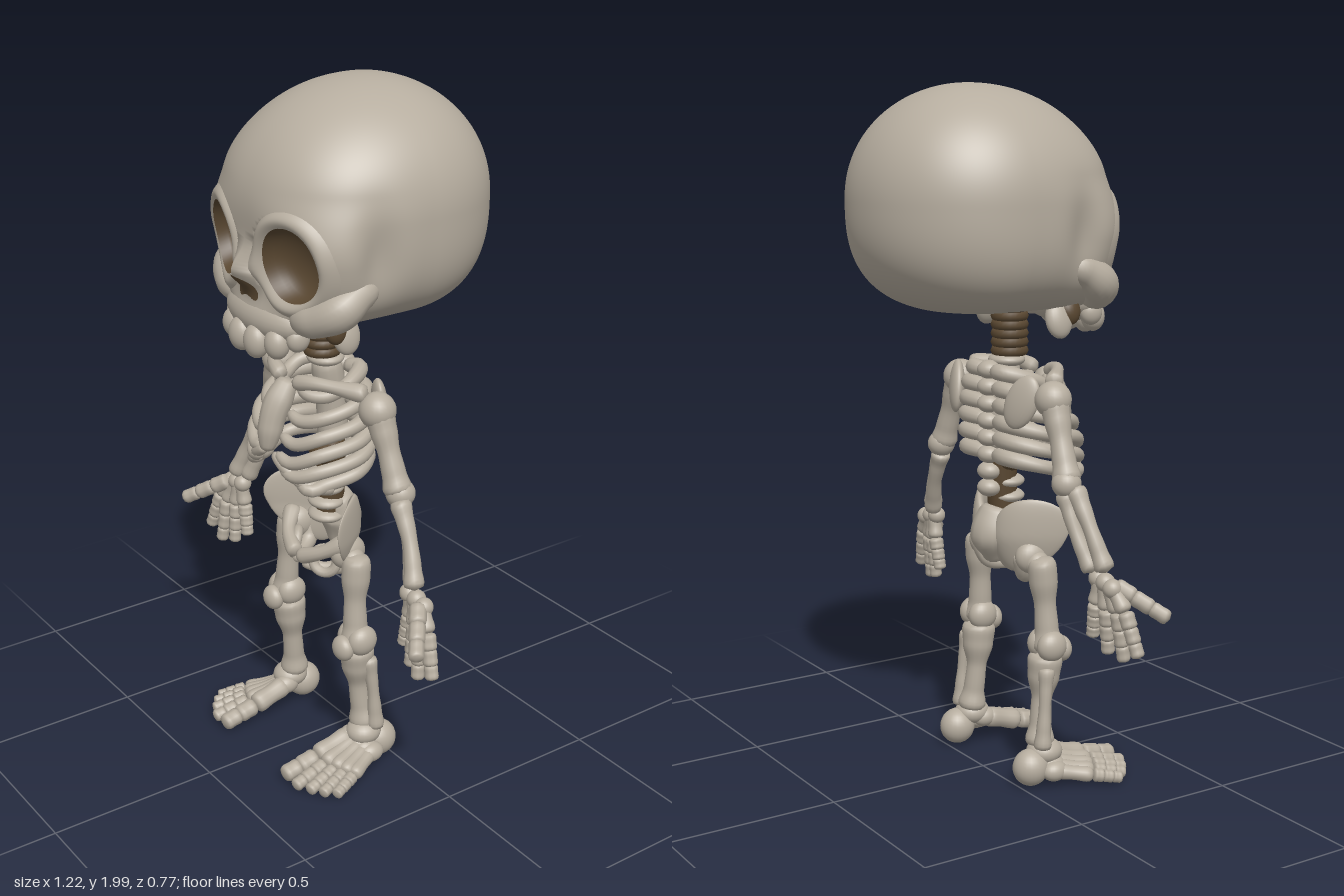
import * as THREE from 'three';
import { mergeVertices } from 'three/addons/utils/BufferGeometryUtils.js';

const boneMat = new THREE.MeshStandardMaterial({ color: 0xb6ad9f });
boneMat.name = 'bone';
const darkMat = new THREE.MeshStandardMaterial({ color: 0x584630, side: THREE.DoubleSide });
darkMat.name = 'dark hollow';

const { lerp, smoothstep } = THREE.MathUtils;

function add(parent, name, geo, mat = boneMat) {
  const mesh = new THREE.Mesh(geo, mat);
  mesh.name = name;
  parent.add(mesh);
  return mesh;
}

function smooth(geo) {
  geo.deleteAttribute('uv');
  geo.deleteAttribute('normal');
  const g = mergeVertices(geo, 1e-5);
  g.computeVertexNormals();
  return g;
}

// Surface from a rule f(u, v) -> [x, y, z], closed around v
function grid(f, nu, nv) {
  const pos = [], idx = [];
  for (let i = 0; i <= nu; i++) for (let j = 0; j <= nv; j++) pos.push(...f(i / nu, j === nv ? 0 : j / nv));
  for (let i = 0; i < nu; i++) for (let j = 0; j < nv; j++) {
    const a = i * (nv + 1) + j, c = a + nv + 1;
    idx.push(a, a + 1, c, a + 1, c + 1, c);
  }
  const g = new THREE.BufferGeometry();
  g.setAttribute('position', new THREE.Float32BufferAttribute(pos, 3));
  g.setIndex(idx);
  return smooth(g);
}

// Round-ended tube whose radius follows a list
function rod(parent, name, pts, radii, { mat = boneMat, seg = 24, sides = 12, cap = 12 } = {}) {
  const curve = new THREE.CatmullRomCurve3(pts.map(p => new THREE.Vector3(...p)));
  const geo = new THREE.TubeGeometry(curve, seg, 1, sides);
  const pos = geo.attributes.position, v = new THREE.Vector3();
  for (let i = 0; i < pos.count; i++) {
    const t = Math.floor(i / (sides + 1)) / seg, k = t * (radii.length - 1);
    const a = Math.min(Math.floor(k), radii.length - 2);
    const r = lerp(radii[a], radii[a + 1], smoothstep(k - a, 0, 1)) * Math.sqrt(Math.max(0, 1 - Math.abs(2 * t - 1) ** cap));
    const c = curve.getPointAt(t);
    v.fromBufferAttribute(pos, i).sub(c).multiplyScalar(r).add(c);
    pos.setXYZ(i, v.x, v.y, v.z);
  }
  return add(parent, name, smooth(geo), mat);
}

function blob(parent, name, p, r, rot = [0, 0, 0], mat = boneMat) {
  const m = add(parent, name, new THREE.SphereGeometry(1, 24, 16), mat);
  m.position.set(...p);
  m.scale.set(...(Array.isArray(r) ? r : [r, r, r]));
  m.rotation.set(...rot);
  return m;
}

// Row of small rounded bones between two points
function digit(parent, name, a, b, n, r) {
  for (let i = 0; i < n; i++) {
    const at = t => a.map((q, k) => lerp(q, b[k], t));
    const s = r * (1 - 0.07 * i);
    rod(parent, name, [at((i - 0.12) / n), at(i === n - 1 ? 1 : (i + 1.12) / n)], [s, s * 0.88, s], { seg: 12, sides: 9, cap: 4 });
  }
}

// Skull cross-section at height y
function section(y) {
  const n = lerp(lerp(3.3, 2.35, smoothstep(y, 1.58, 1.76)), 2.1, smoothstep(y, 1.76, 1.95));
  if (y >= 1.68) {
    const f = Math.sqrt(Math.max(0, 1 - ((y - 1.68) / 0.32) ** 2.1));
    return { w: 0.34 * f, f: 0.385 * f, b: 0.335 * f, n };
  }
  const u = (1.68 - y) / 0.31;
  return { w: 0.34 * (1 - u ** 3) ** 0.32, f: 0.385 - 0.035 * smoothstep(u, 0, 1), b: 0.335 * (1 - u ** 2.6) ** 0.4, n };
}
const bell = (x, y, cy, sx, sy) => Math.exp(-((x / sx) ** 2) - ((y - cy) / sy) ** 2);
const relief = (x, y) => 0.06 * bell(x, y, 1.53, 0.04, 0.05) + 0.035 * bell(x, y, 1.39, 0.13, 0.07);
function faceZ(x, y) {
  const s = section(y);
  return -0.05 + s.f * Math.max(0, 1 - Math.min(1, Math.abs(x / s.w)) ** s.n) ** (1 / s.n) + relief(x, y);
}
const EYE = { x: 0.16, y: 1.572, rx: 0.095, ry: 0.108 };

// Patch that follows the face, from an outline and a height rule
function facePatch(outline, d0, d1, height, rows) {
  return grid((u, v) => {
    const d = lerp(d0, d1, u), [x, y] = outline(-v * Math.PI * 2, d);
    return [x, y, faceZ(x, y) + height(d)];
  }, rows, 56);
}

function buildSkull() {
  const g = new THREE.Group();
  g.name = 'skull';
  const pow = (c, n) => Math.sign(c) * Math.abs(c) ** (2 / n);
  const shell = (u, v) => {
    const y = 1.69 + 0.31 * Math.cos(u * Math.PI * 0.945), s = section(y), a = v * Math.PI * 2;
    const front = Math.sin(a) > 0, n = front ? s.n : 2.1;
    let x = s.w * pow(Math.cos(a), n), z = -0.05 + (front ? s.f : s.b) * pow(Math.sin(a), n);
    if (front) {
      z += relief(x, y);
      const d = Math.hypot((Math.abs(x) - EYE.x) / EYE.rx, (y - EYE.y) / EYE.ry);
      z -= 0.2 * (1 - smoothstep(d, 0.98, 1.13));
      // hollow temples
      x *= 1 - 0.09 * Math.exp(-(((z - 0.125) / 0.055) ** 2) - ((y - 1.59) / 0.11) ** 2) * smoothstep(Math.abs(x), 0.2, 0.28);
    }
    return [x, y, z];
  };
  add(g, 'cranium', grid(shell, 90, 180));
  // hollow underside
  add(g, 'skullHollow', grid((u, v) => {
    const [x, y, z] = shell(1, v), k = 1 - u;
    return [x * k, y + 0.08 * Math.sqrt(1 - k * k), lerp(0.06, z, k)];
  }, 8, 90), darkMat);

  for (const s of [1, -1]) {
    const oval = (a, d) => [s * EYE.x + EYE.rx * d * Math.cos(a), EYE.y + EYE.ry * d * Math.sin(a)];
    add(g, 'eyeSocket', facePatch(oval, 0, 1, d => -0.09 * Math.sqrt(1 - d * d), 12), darkMat);
    add(g, 'eyeRim', facePatch(oval, 0.95, 1.36, d => 0.012 * Math.sin(Math.PI * (d - 0.95) / 0.41) - 0.002, 10));
    rod(g, 'cheekbone', [[s * 0.13, 1.415, 0.265], [s * 0.205, 1.43, 0.248], [s * 0.258, 1.46, 0.212], [s * 0.265, 1.5, 0.15], [s * 0.25, 1.51, 0.08]],
      [0.04, 0.05, 0.054, 0.045, 0.025], { seg: 30, sides: 18 });
    blob(g, 'jawHinge', [s * 0.178, 1.355, 0.135], [0.026, 0.055, 0.042], [0, 0, s * 0.25]);
    blob(g, 'jawHollow', [s * 0.178, 1.378, 0.17], [0.026, 0.042, 0.034], [0, 0, s * 0.25], darkMat);
    // teeth around the upper jaw
    [[0.037, 1.337, 0.328, 0.04, 0.048], [0.104, 1.345, 0.306, 0.037, 0.044], [0.148, 1.362, 0.268, 0.026, 0.036]].forEach(
      ([x, y, z, r, h]) => blob(g, 'tooth', [s * x, y, z], [r, h, 0.034]));
  }
  blob(g, 'upperJaw', [0, 1.393, 0.262], [0.175, 0.07, 0.08]);
  add(g, 'noseHole', facePatch((a, d) => {
    const c = Math.cos(a), n = Math.sin(a);
    return [0.042 * d * c * (1 - 0.45 * n), 1.48 + d * (0.042 * n + 0.02 * Math.max(0, -n) ** 10)];
  }, 0, 1, () => 0.004, 6), darkMat);
  return g;
}

function buildTorso() {
  const g = new THREE.Group();
  g.name = 'torso';
  // spine
  for (let i = 0; i < 9; i++) {
    const m = add(g, 'neckVertebra', new THREE.TorusGeometry(0.04, 0.015, 8, 24), darkMat);
    m.rotation.x = Math.PI / 2;
    m.position.set(0, 1.25 + i * 0.025, 0.09);
  }
  rod(g, 'neckCore', [[0, 1.46, 0.09], [0, 1.22, 0.085]], [0.035, 0.035], { mat: darkMat });
  rod(g, 'upperSpine', [[0, 1.23, 0.08], [0, 1.1, 0.06], [0, 0.96, 0.055]], [0.045, 0.045, 0.045]);
  rod(g, 'lowerSpineCore', [[0, 0.99, 0.06], [0, 0.72, 0.07]], [0.045, 0.042], { mat: darkMat });
  blob(g, 'lowerSpineHollow', [0, 0.935, 0.075], [0.062, 0.038, 0.05], [0, 0, 0], darkMat);
  for (let i = 0; i < 8; i++) blob(g, 'vertebra', [0, 1.2 - i * 0.049, 0.022], [0.036, 0.027, 0.036]);
  for (const y of [1.225, 0.872, 0.828, 0.783, 0.74]) blob(g, 'vertebraDisc', [0, y, 0.08], [0.056, 0.022, 0.052]);
  // ribs: half width, front depth, front end x, front end drop
  const ribs = [[0.12, 0.19, 0.03, 0.025], [0.16, 0.225, 0.03, 0.045], [0.178, 0.252, 0.03, 0.058],
    [0.185, 0.268, 0.03, 0.062], [0.187, 0.265, 0.045, 0.05], [0.178, 0.24, 0.09, 0.035]];
  rod(g, 'sternum', [[0, 1.19, 0.2], [0, 1.1, 0.252], [0, 0.985, 0.28]], [0.03, 0.04, 0.036, 0.022]);
  for (const s of [1, -1]) {
    ribs.forEach(([w, f, ex, drop], i) => {
      const y = 1.195 - i * 0.048;
      rod(g, 'rib', [[s * 0.02, y, 0.03], [s * w * 0.6, y + 0.005, 0.015], [s * w * 0.98, y - 0.015, 0.09],
        [s * w * 0.86, y - 0.04, f * 0.78], [s * (ex + w * 0.3), y - drop - 0.012, f * 0.97], [s * ex, y - drop + 0.005, f]],
      [0.024, 0.024, 0.02, 0.02, 0.018], { seg: 32 });
    });
    rod(g, 'ribArch', [[s * 0.02, 0.99, 0.27], [s * 0.075, 0.955, 0.262], [s * 0.13, 0.915, 0.225], [s * 0.165, 0.905, 0.16]],
      [0.016, 0.018, 0.02, 0.02]);
    rod(g, 'collarbone', [[s * 0.03, 1.185, 0.205], [s * 0.1, 1.2, 0.185], [s * 0.22, 1.185, 0.09]], [0.024, 0.018, 0.028]);
    blob(g, 'shoulderBlade', [s * 0.17, 1.13, 0.018], [0.05, 0.08, 0.022], [0.1, s * -0.45, s * -0.35]);
  }
  return g;
}

function buildPelvis() {
  const g = new THREE.Group();
  g.name = 'pelvis';
  rod(g, 'sacrum', [[0, 0.8, 0.055], [0, 0.72, 0.03], [0, 0.63, 0.045]], [0.05, 0.062, 0.025]);
  for (const s of [1, -1]) {
    // wing: thick oval curling forward at its outer edge
    const wing = new THREE.SphereGeometry(1, 32, 24).scale(0.08, 0.118, 0.026).rotateZ(-0.5 * s).translate(s * 0.102, 0.727, 0.026);
    const p = wing.attributes.position;
    for (let i = 0; i < p.count; i++) {
      p.setZ(i, p.getZ(i) + 5.5 * Math.max(0, Math.abs(p.getX(i)) - 0.03) ** 2 + 0.25 * Math.max(0, 0.72 - p.getY(i)));
    }
    add(g, 'hipWing', smooth(wing));
    blob(g, 'hipSocket', [s * 0.122, 0.668, 0.09], [0.038, 0.05, 0.055]);
    const ring = add(g, 'pubicRing', new THREE.TorusGeometry(0.036, 0.015, 10, 24));
    ring.position.set(s * 0.075, 0.633, 0.137);
    ring.rotation.set(-0.25, s * 0.6, 0);
    rod(g, 'pubicBone', [[s * 0.14, 0.71, 0.1], [s * 0.085, 0.668, 0.155], [s * 0.008, 0.632, 0.182]], [0.03, 0.02, 0.025]);
    rod(g, 'sitBone', [[s * 0.115, 0.68, 0.06], [s * 0.095, 0.615, 0.08], [s * 0.06, 0.602, 0.13], [s * 0.01, 0.615, 0.175]], [0.03, 0.026, 0.017, 0.018]);
  }
  return g;
}

function buildArm(s) {
  const g = new THREE.Group();
  g.name = s > 0 ? 'leftArm' : 'rightArm';
  const m = ([x, y, z]) => [s * x, y, z];
  blob(g, 'shoulder', m([0.24, 1.143, 0.075]), 0.052);
  rod(g, 'upperArm', [m([0.242, 1.15, 0.075]), m([0.285, 1.04, 0.07]), m([0.328, 0.92, 0.065])], [0.046, 0.038, 0.031, 0.034, 0.046]);
  blob(g, 'elbow', m([0.328, 0.925, 0.06]), [0.04, 0.04, 0.042]);
  rod(g, 'forearmOuter', [m([0.342, 0.92, 0.075]), m([0.408, 0.81, 0.085]), m([0.455, 0.695, 0.105])], [0.034, 0.025, 0.021, 0.024, 0.033]);
  rod(g, 'forearmInner', [m([0.322, 0.905, 0.058]), m([0.37, 0.8, 0.062]), m([0.422, 0.69, 0.085])], [0.034, 0.023, 0.02, 0.023, 0.031]);
  for (const [x, y] of [[0.425, 0.675], [0.458, 0.67], [0.49, 0.66]]) blob(g, 'wristBone', m([x, y, 0.1]), 0.027);
  const tips = [[0.572, 0.48, 0.13], [0.508, 0.452, 0.13], [0.455, 0.464, 0.115], [0.403, 0.503, 0.1]];
  const roots = [[0.53, 0.6, 0.115], [0.495, 0.59, 0.115], [0.458, 0.59, 0.105], [0.422, 0.6, 0.095]];
  roots.forEach((r, i) => {
    rod(g, 'palmBone', [m([0.475 - i * 0.013, 0.68, 0.1]), m(r)], [0.022, 0.021, 0.026], { cap: 6 });
    digit(g, 'finger', m(r), m(tips[i]), 3, 0.025);
  });
  digit(g, 'thumb', m([0.485, 0.665, 0.115]), m([0.602, 0.585, 0.21]), 3, 0.028);
  return g;
}

function buildLeg(s) {
  const g = new THREE.Group();
  g.name = s > 0 ? 'leftLeg' : 'rightLeg';
  const m = ([x, y, z]) => [s * x, y, z];
  blob(g, 'hipBall', m([0.145, 0.652, 0.09]), 0.037);
  rod(g, 'thighBone', [m([0.167, 0.68, 0.09]), m([0.172, 0.54, 0.1]), m([0.183, 0.395, 0.105])], [0.043, 0.042, 0.032, 0.035, 0.052], { seg: 30, sides: 16 });
  for (const x of [0.158, 0.208]) blob(g, 'kneeKnob', m([x, 0.42, 0.1]), [0.034, 0.045, 0.046]);
  blob(g, 'kneecap', m([0.183, 0.4, 0.15]), [0.038, 0.038, 0.028]);
  rod(g, 'shinBone', [m([0.178, 0.4, 0.1]), m([0.175, 0.25, 0.088]), m([0.185, 0.115, 0.075])], [0.056, 0.047, 0.03, 0.032, 0.05], { seg: 30, sides: 16 });
  rod(g, 'calfBone', [m([0.212, 0.365, 0.08]), m([0.22, 0.24, 0.068]), m([0.222, 0.115, 0.06])], [0.027, 0.019, 0.017, 0.021, 0.03]);
  blob(g, 'ankle', m([0.195, 0.105, 0.085]), [0.05, 0.038, 0.054]);
  blob(g, 'heel', m([0.2, 0.066, 0.035]), [0.05, 0.054, 0.054]);
  // foot bones fan out from the ankle
  const toes = [[0.165, 0.332, 0.031], [0.222, 0.33, 0.025], [0.263, 0.308, 0.024], [0.296, 0.284, 0.023], [0.322, 0.254, 0.022]];
  toes.forEach(([x, z, r], i) => {
    const root = m([0.172 + i * 0.017, 0.088 - i * 0.008, 0.115 - i * 0.006]);
    const ball = m([lerp(0.172 + i * 0.017, x, 0.62), 0.055 - i * 0.004, lerp(0.11, z, 0.58)]);
    blob(g, 'archBone', root, [0.031, 0.03, 0.04]);
    rod(g, 'footBone', [root, ball], [r * 1.1, r * 0.95, r * 1.12], { cap: 6 });
    digit(g, 'toe', ball, m([x, r + 0.002, z + 0.02]), i ? 3 : 2, r);
  });
  return g;
}

export function createModel() {
  const model = new THREE.Group();
  model.name = 'skeleton';
  model.add(buildSkull(), buildTorso(), buildPelvis());
  for (const s of [1, -1]) model.add(buildArm(s), buildLeg(s));
  return model;
}
